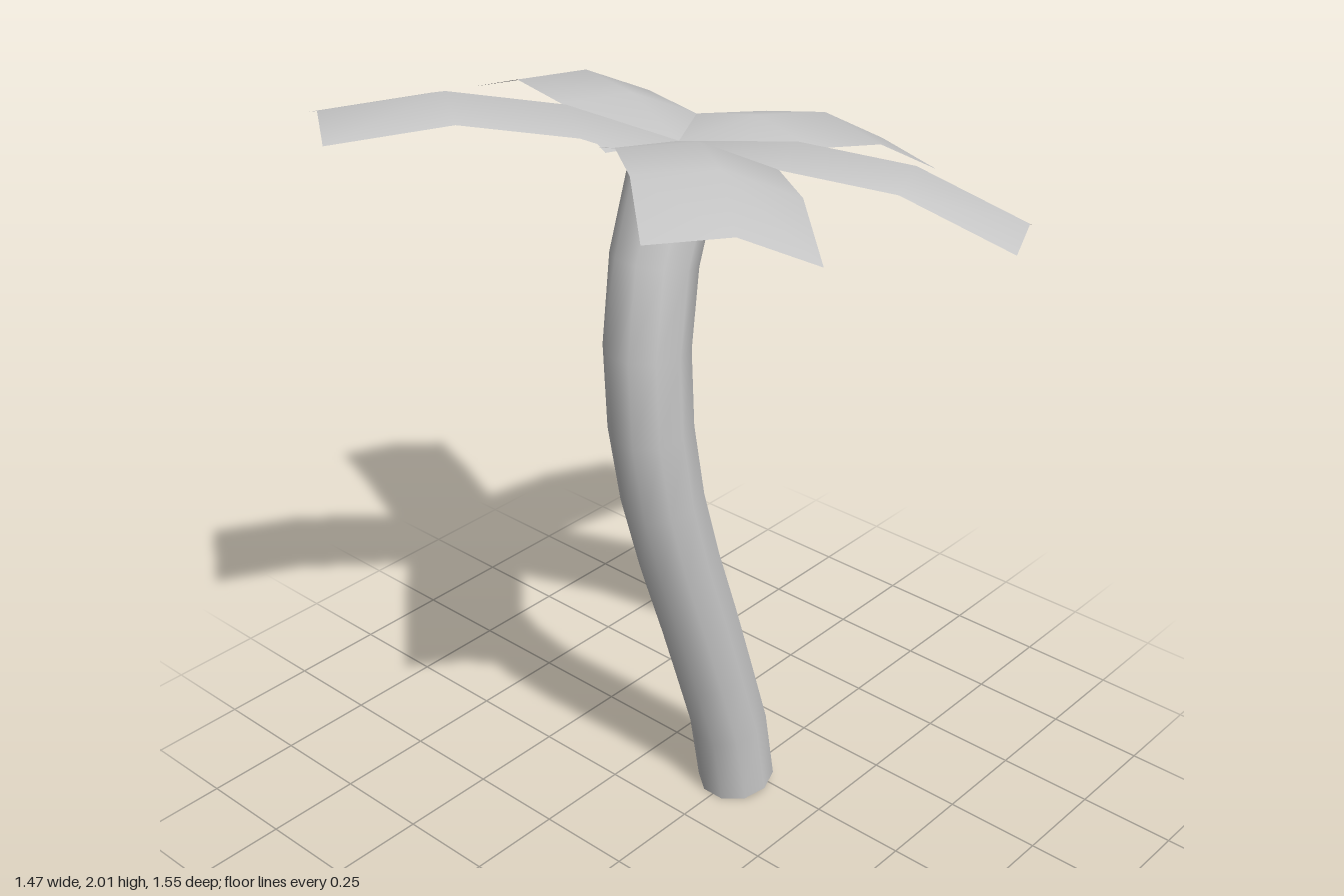
import * as THREE from 'three';

const material = new THREE.MeshStandardMaterial({ color: 0xcccccc, side: THREE.DoubleSide });

// Open, gently S-curved trunk
function makeTrunk() {
  const points = [
    [0.207, 0.007], [0.172, 0.205], [0.11, 0.4], [0.035, 0.63], [-0.04, 0.85],
    [-0.098, 1.07], [-0.124, 1.265], [-0.125, 1.44], [-0.098, 1.615], [-0.035, 1.795],
  ].map(([x, y]) => new THREE.Vector3(x, y, 0));
  const path = new THREE.CatmullRomCurve3(points);
  const trunk = new THREE.Mesh(new THREE.TubeGeometry(path, 9, 0.1, 10, false), material);
  trunk.name = 'trunk';
  return trunk;
}

// Arched strip along +x, folded along its midrib
function makeFrondGeometry() {
  const length = 0.77, width = 0.34, fold = 0.036;
  const arch = [0, 0.05, 0.05, -0.02];
  const geometry = new THREE.PlaneGeometry(length, width, arch.length - 1, 2);
  geometry.rotateX(-Math.PI / 2);
  geometry.translate(length / 2, 0, 0);
  const position = geometry.attributes.position;
  for (let i = 0; i < position.count; i++) {
    const row = Math.round(position.getX(i) / length * (arch.length - 1));
    const side = Math.abs(position.getZ(i)) / (width / 2);
    position.setY(i, arch[row] - fold * side);
  }
  geometry.computeVertexNormals();
  return geometry;
}

export function createModel() {
  const palm = new THREE.Group();
  palm.name = 'palmTree';
  palm.add(makeTrunk());

  // Crown of fronds, tilted with the top of the trunk
  const crown = new THREE.Group();
  crown.name = 'crown';
  crown.position.set(-0.02, 1.85, 0);
  crown.rotation.z = -0.235;
  const frondGeometry = makeFrondGeometry();
  [0, 67.5, 145.5, 229, 295].forEach((angle, i) => {
    const frond = new THREE.Mesh(frondGeometry, material);
    frond.name = `frond${i + 1}`;
    frond.rotation.y = THREE.MathUtils.degToRad(angle);
    crown.add(frond);
  });
  palm.add(crown);
  return palm;
}
